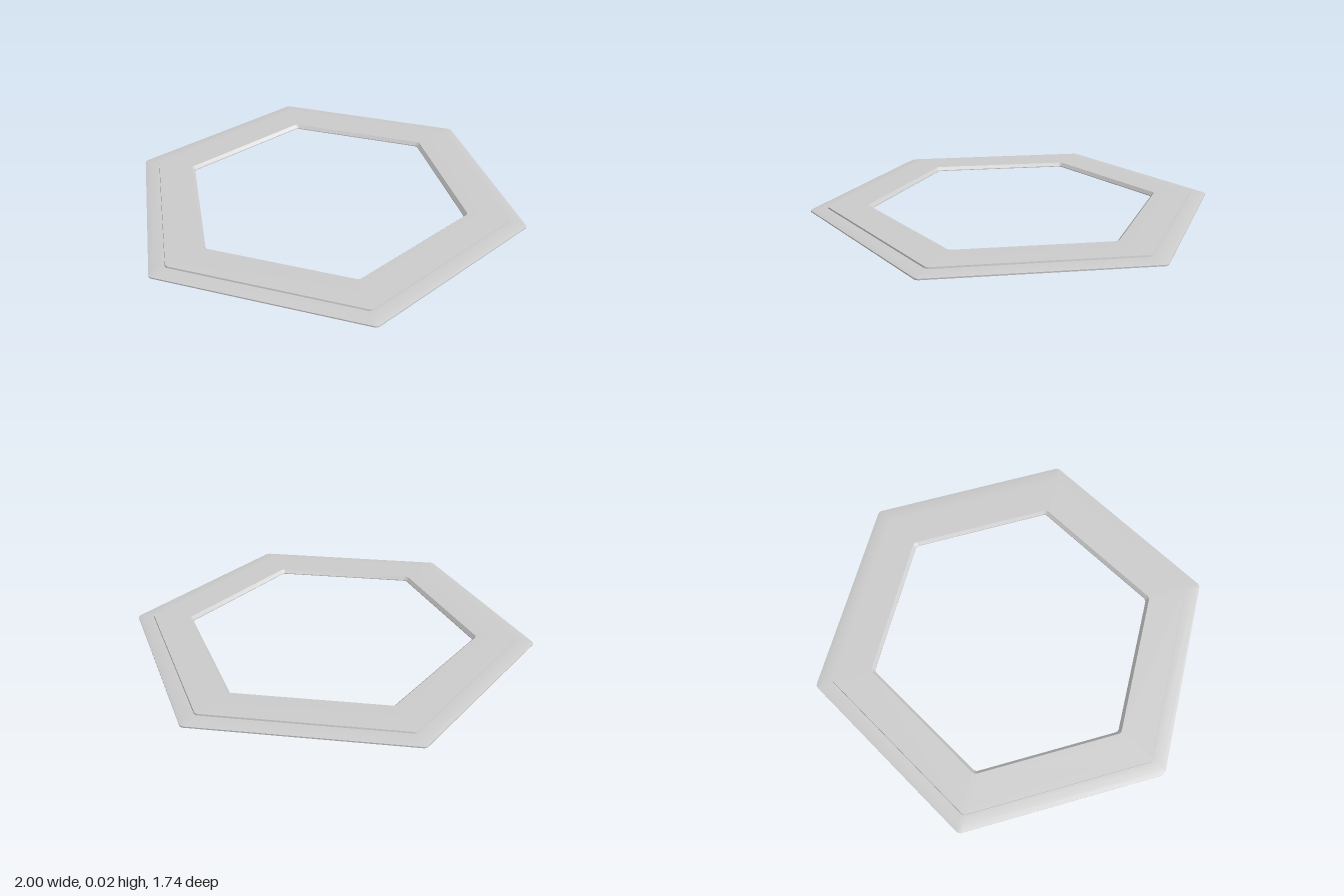
import * as THREE from 'three';
import { toCreasedNormals } from 'three/addons/utils/BufferGeometryUtils.js';

// Hexagon outline with slightly rounded corners, corner pointing along +x
function hexOutline(apothem, radius, steps = 4) {
  const points = [];
  const centre = (apothem - radius) / Math.cos(Math.PI / 6);
  for (let k = 0; k < 6; k++) {
    const corner = (k * Math.PI) / 3;
    for (let s = 0; s <= steps; s++) {
      const a = corner + (s / steps - 0.5) * (Math.PI / 3);
      points.push([
        centre * Math.cos(corner) + radius * Math.cos(a),
        centre * Math.sin(corner) + radius * Math.sin(a),
      ]);
    }
  }
  return points;
}

// Sweep a closed [apothem, y] section around the hexagon
function hexRing(section, radius) {
  const loops = section.map(([apothem, y]) => hexOutline(apothem, radius).map(([x, z]) => [x, y, z]));
  const n = loops[0].length, m = loops.length;
  const index = [];
  for (let j = 0; j < m; j++) {
    for (let i = 0; i < n; i++) {
      const a = j * n + i, b = ((j + 1) % m) * n + i;
      const d = j * n + ((i + 1) % n), c = ((j + 1) % m) * n + ((i + 1) % n);
      index.push(a, b, c, a, c, d);
    }
  }
  const geometry = new THREE.BufferGeometry();
  geometry.setAttribute('position', new THREE.Float32BufferAttribute(loops.flat(2), 3));
  geometry.setIndex(index);
  return toCreasedNormals(geometry, 0.5);
}

export function createModel() {
  const group = new THREE.Group();
  group.name = 'hexagonalFrame';

  // Flat underside, thin outer flange, raised band and sloped inner wall
  const section = [
    [0.614, 0], [0.868, 0], [0.868, 0.006], [0.845, 0.012],
    [0.797, 0.013], [0.795, 0.02], [0.628, 0.02], [0.614, 0.004],
  ];
  const frame = new THREE.Mesh(hexRing(section, 0.025), new THREE.MeshStandardMaterial({ color: 0xcccccc }));
  frame.name = 'frameRing';
  group.add(frame);
  return group;
}
